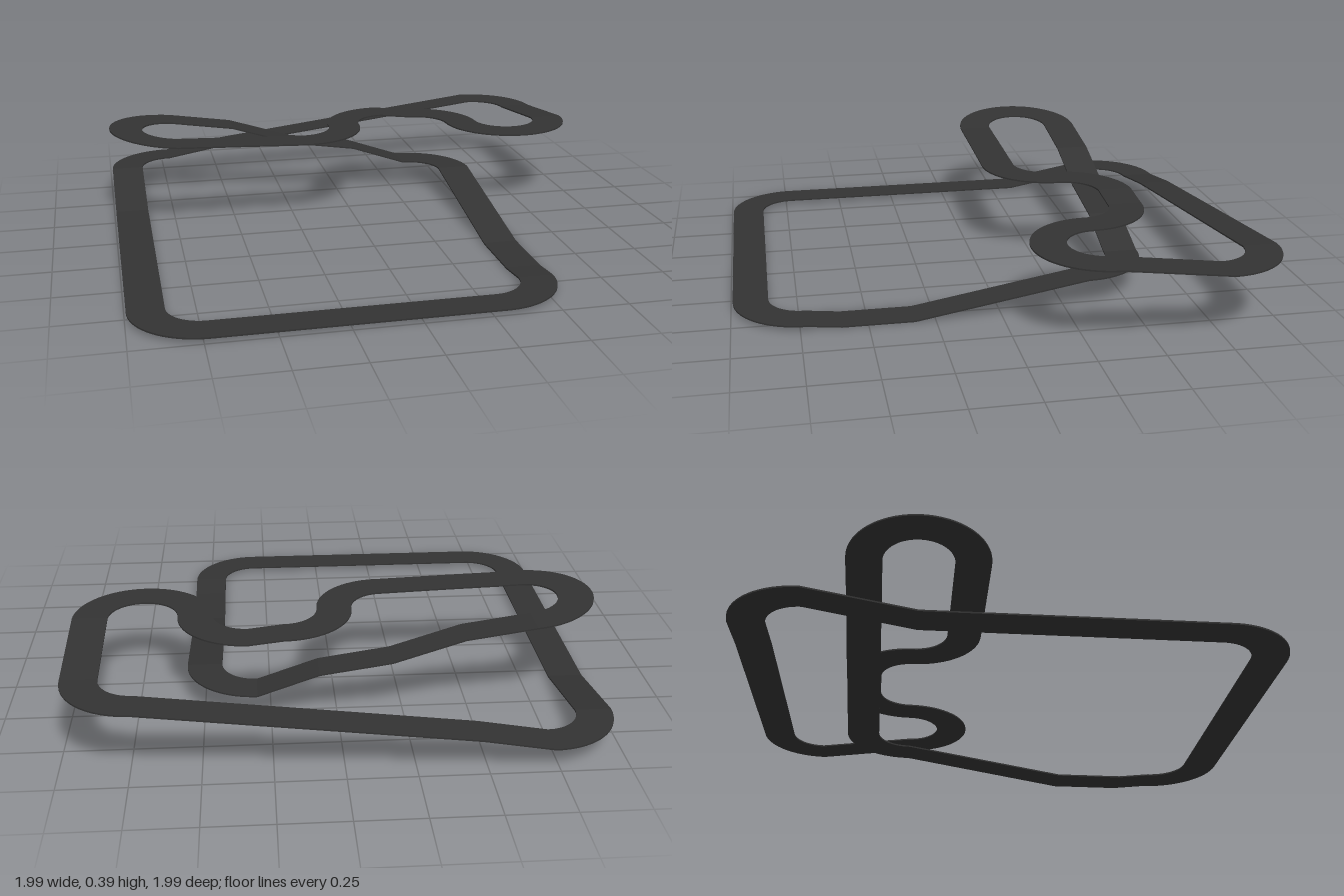
import * as THREE from 'three';

const HALF = 0.067;    // half the road width
const THICK = 0.006;   // slab thickness
const R = 0.199;       // centre-line radius of every bend

// Sweep a thin slab through a list of cross-sections { x, z, a, y, tilt }
function slab(rings) {
  const corners = rings.map(({ x, z, a, y, tilt }) => {
    const edge = (s, drop) => {
      const ex = x + s * HALF * Math.cos(a);
      const ez = z - s * HALF * Math.sin(a);
      const ey = y + (tilt ? tilt(ex) : 0) - drop;
      return [ex, ey, ez];
    };
    return [edge(1, 0), edge(-1, 0), edge(-1, THICK), edge(1, THICK)];
  });
  const pos = [];
  for (let i = 0; i + 1 < corners.length; i++) {
    for (let k = 0; k < 4; k++) {
      const n = (k + 1) % 4;
      const [a, b, c, d] = [corners[i][k], corners[i][n], corners[i + 1][n], corners[i + 1][k]];
      pos.push(...a, ...b, ...c, ...a, ...c, ...d);
    }
  }
  const geo = new THREE.BufferGeometry();
  geo.setAttribute('position', new THREE.Float32BufferAttribute(pos, 3));
  geo.computeVertexNormals();
  return geo;
}

export function createModel() {
  const track = new THREE.Group();
  track.name = 'raceTrack';
  const asphalt = new THREE.MeshStandardMaterial({ color: 0x333333 });

  // Running position: heading 0 faces +z, positive turns go left
  let x = -0.926, z = 0.727, a = 0, y = 0.02;

  function add(name, rings) {
    const mesh = new THREE.Mesh(slab(rings), asphalt);
    mesh.name = name;
    track.add(mesh);
  }
  // Straight (or ramp) of a given length, ending at height endY
  function go(name, length, endY = y) {
    const start = { x, z, a, y };
    x += length * Math.sin(a);
    z += length * Math.cos(a);
    y = endY;
    add(name, [start, { x, z, a, y }]);
  }
  // Bend of constant radius; tilt adds height by x for a banked bend
  function turn(name, degrees, tilt) {
    const s = Math.sign(degrees), sweep = THREE.MathUtils.degToRad(degrees);
    const cx = x + s * R * Math.cos(a), cz = z - s * R * Math.sin(a);
    const steps = Math.round(Math.abs(degrees) / 5), rings = [];
    for (let i = 0; i <= steps; i++) {
      const t = a + sweep * i / steps;
      rings.push({ x: cx - s * R * Math.cos(t), z: cz + s * R * Math.sin(t), a: t, y, tilt });
    }
    a += sweep;
    x = rings[steps].x;
    z = rings[steps].z;
    add(name, rings);
  }

  // Lower circuit
  turn('frontLeftBend', 90);
  go('frontStraight', 1.028);
  turn('frontRightBend', 90);
  go('dipRamp', 0.13, 0.006);
  go('dipStraight', 0.27);
  go('rightClimb', 0.663, 0.12);
  turn('underpassBend', 90);
  // Climb to the raised hairpin
  go('lowerClimb', 0.231, 0.2);
  go('gentleClimb', 0.27, 0.24);
  go('steepClimb', 0.27, 0.325);
  go('topClimb', 0.264, 0.364);
  turn('bankedHairpin', 180, (ex) => (-0.734 - ex) * 0.095);
  go('hairpinExit', 0.264, 0.356);
  go('upperStraight', 0.27, 0.346);
  // Overpass chicane
  turn('chicaneEntry', 90);
  turn('chicaneMiddle', -90);
  go('overpass', 0.132, 0.331);
  turn('chicaneExit', -90);
  turn('rightHairpin', 180);
  // Descent around the back
  go('rightDescent', 0.398, 0.282);
  turn('backRightBend', 90);
  go('backDescent', 1.198, 0.136);
  go('backLowerDescent', 0.257, 0.091);
  turn('backLeftBend', 90);
  go('leftDescent', 0.398, 0.02);
  go('leftStraight', 1.063);
  return track;
}
